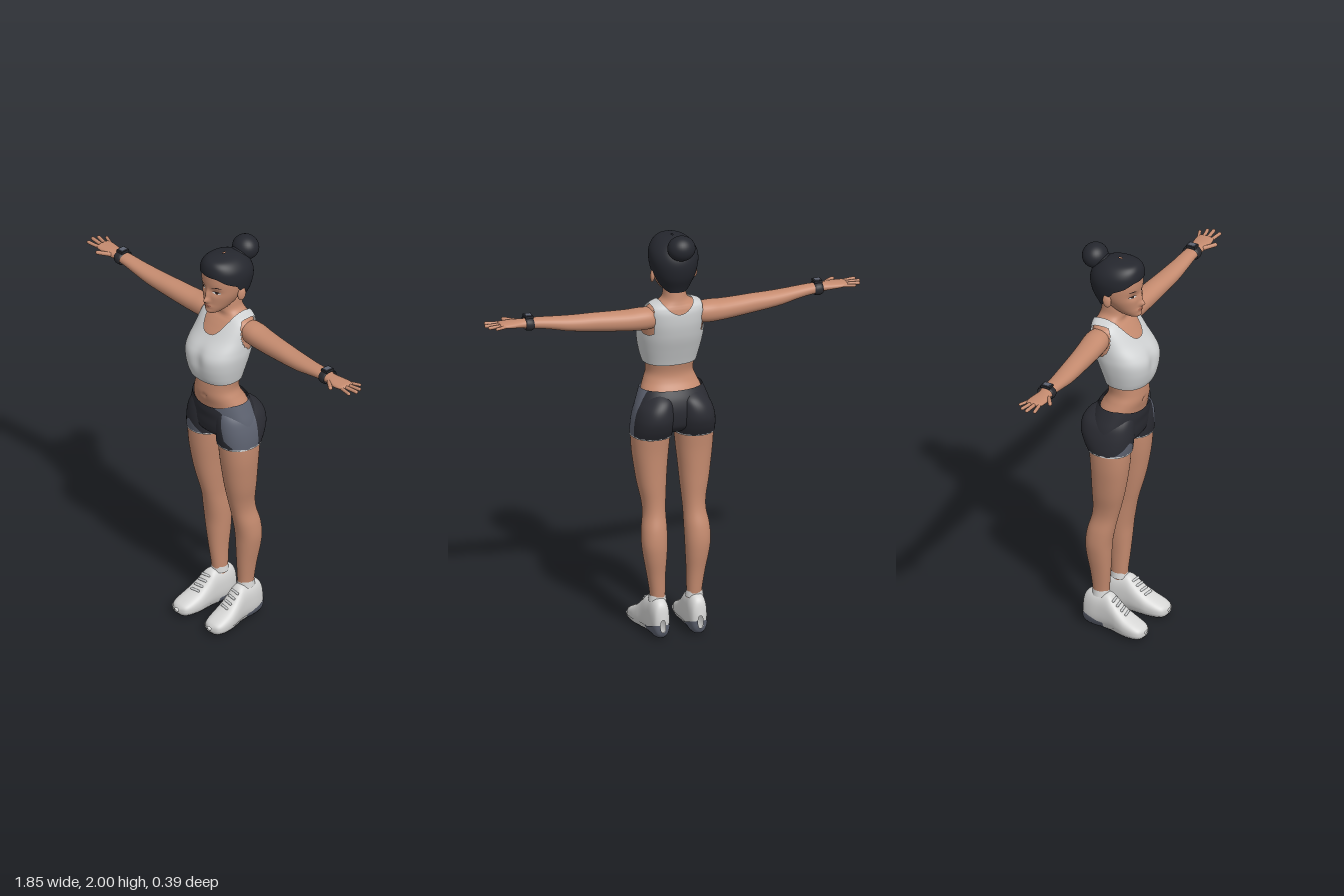
import * as THREE from 'three';

const paint = (name, color, side = THREE.DoubleSide) => {
  const m = new THREE.MeshStandardMaterial({ color, side });
  m.name = name;
  return m;
};

// Smooth tube through sections [t, centreX, radiusX, zFront, zBack]; n squares the outline, warp moves points
function loft(keys, { n = 2.2, seg = 48, sub = 6, warp } = {}) {
  const pos = [], idx = [], rows = (keys.length - 1) * sub;
  for (let i = 0; i <= rows; i++) {
    const k = Math.min(Math.floor(i / sub), keys.length - 2), u = i / sub - k;
    const at = j => keys[Math.max(0, Math.min(keys.length - 1, j))];
    const [t, cx, rx, zf, zb] = keys[0].map((_, c) => {
      const a = at(k - 1)[c], b = at(k)[c], d = at(k + 1)[c], e = at(k + 2)[c];
      return b + 0.5 * u * (d - a + u * (2 * a - 5 * b + 4 * d - e + u * (3 * (b - d) + e - a)));
    });
    for (let j = 0; j < seg; j++) {
      const a = j / seg * Math.PI * 2, c = Math.cos(a), s = Math.sin(a);
      const r = (Math.abs(c) ** n + Math.abs(s) ** n) ** (-1 / n);
      const p = new THREE.Vector3(cx + rx * r * c, t, (zf + zb) / 2 + (zf - zb) / 2 * r * s);
      if (warp) warp(p);
      pos.push(p.x, p.y, p.z);
      if (i < rows) {
        const q = i * seg + j, w = i * seg + (j + 1) % seg;
        idx.push(q, q + seg, w, w, q + seg, w + seg);
      }
    }
  }
  const g = new THREE.BufferGeometry();
  g.setAttribute('position', new THREE.Float32BufferAttribute(pos, 3));
  g.setIndex(idx);
  g.computeVertexNormals();
  return g;
}

// Keeps the part of a surface where field f is positive, cut cleanly, pushed out by lift
function clip(geo, f, lift = 0) {
  const P = geo.attributes.position, N = geo.attributes.normal, pos = [], nor = [];
  const vert = i => {
    const p = new THREE.Vector3().fromBufferAttribute(P, i);
    return { p, n: new THREE.Vector3().fromBufferAttribute(N, i), f: f(p.x, p.y, p.z) };
  };
  const verts = Array.from({ length: P.count }, (_, i) => vert(i)), index = geo.index.array;
  for (let i = 0; i < index.length; i += 3) {
    const tri = [verts[index[i]], verts[index[i + 1]], verts[index[i + 2]]], poly = [];
    tri.forEach((a, k) => {
      const b = tri[(k + 1) % 3];
      if (a.f > 0) poly.push(a);
      if (a.f > 0 !== b.f > 0) {
        const u = a.f / (a.f - b.f);
        poly.push({ p: a.p.clone().lerp(b.p, u), n: a.n.clone().lerp(b.n, u).normalize() });
      }
    });
    for (let k = 2; k < poly.length; k++) for (const v of [poly[0], poly[k - 1], poly[k]]) {
      pos.push(...v.p.clone().addScaledVector(v.n, lift).toArray());
      nor.push(...v.n.toArray());
    }
  }
  const g = new THREE.BufferGeometry();
  g.setAttribute('position', new THREE.Float32BufferAttribute(pos, 3));
  g.setAttribute('normal', new THREE.Float32BufferAttribute(nor, 3));
  return g;
}

function mirror(geo) {
  const g = geo.clone().scale(-1, 1, 1);
  const src = g.index ? [...g.index.array] : Array.from({ length: g.attributes.position.count }, (_, i) => i);
  for (let i = 0; i < src.length; i += 3) [src[i], src[i + 1]] = [src[i + 1], src[i]];
  g.setIndex(src);
  return g;
}

// Straight-line table lookup, keys ascending
function table(keys, t) {
  if (t <= keys[0][0]) return keys[0][1];
  for (let i = 1; i < keys.length; i++) {
    const [a, va] = keys[i - 1], [b, vb] = keys[i];
    if (t <= b) return va + (vb - va) * (t - a) / (b - a);
  }
  return keys[keys.length - 1][1];
}

const bump = (d, w) => Math.exp(-((d / w) ** 2));
const oval = (x, y, cx, cy, rx, ry) => 1 - ((x - cx) / rx) ** 2 - ((y - cy) / ry) ** 2;
const ball = (x, y, z, sx, sy, sz) => new THREE.SphereGeometry(1, 32, 20).scale(sx, sy, sz).translate(x, y, z);

function rod(a, b, r) {
  const A = new THREE.Vector3(...a), B = new THREE.Vector3(...b), d = B.clone().sub(A);
  const q = new THREE.Quaternion().setFromUnitVectors(new THREE.Vector3(0, 1, 0), d.clone().normalize());
  const c = A.add(B).multiplyScalar(0.5);
  return new THREE.CapsuleGeometry(r, d.length(), 4, 10).applyQuaternion(q).translate(c.x, c.y, c.z);
}

export function createModel() {
  const model = new THREE.Group();
  const skin = paint('skin', 0xc58b6f), cloth = paint('top fabric', 0xcfd1d2), dark = paint('shorts dark', 0x2b2c33),
    grey = paint('shorts grey', 0x5d6270), hairMat = paint('hair', 0x25272e), white = paint('shoe white', 0xd6d6d5),
    sole = paint('sole', 0x33353c), lip = paint('lips', 0xa5654f), ink = paint('eye dark', 0x2a1c1a), band = paint('band', 0x292a2f);
  const add = (name, geo, mat) => {
    const m = new THREE.Mesh(geo, mat);
    m.name = name;
    model.add(m);
  };
  const pair = (name, geo, mat) => {
    add(name + 'Left', geo, mat);
    add(name + 'Right', mirror(geo), mat);
  };

  // Trunk and neck
  add('torso', loft([
    [1.10, 0, .155, .095, -.09], [1.16, 0, .152, .11, -.085], [1.20, 0, .143, .119, -.075], [1.24, 0, .126, .128, -.052],
    [1.28, 0, .113, .127, -.042], [1.33, 0, .118, .122, -.05], [1.40, 0, .134, .12, -.072], [1.48, 0, .144, .12, -.1],
    [1.54, 0, .146, .1, -.114], [1.59, 0, .143, .066, -.117], [1.62, 0, .137, .042, -.112], [1.635, 0, .118, .028, -.107],
    [1.648, 0, .085, .024, -.102], [1.67, 0, .059, .026, -.096], [1.71, 0, .052, .025, -.09], [1.77, 0, .05, .02, -.085]], {
    warp: p => { if (p.z > .05) p.z -= .008 * bump(p.x, .009) * bump(p.y - 1.235, .012); }
  }), skin);

  // Cropped tank top with scooped neck and arm holes
  const top = loft([
    [1.33, 0, .128, .153, -.056], [1.36, 0, .136, .165, -.066], [1.41, 0, .147, .176, -.084], [1.46, 0, .154, .176, -.102],
    [1.50, 0, .154, .156, -.113], [1.55, 0, .152, .112, -.122], [1.60, 0, .149, .072, -.124], [1.627, 0, .142, .048, -.119],
    [1.643, 0, .122, .034, -.113], [1.656, 0, .088, .029, -.107], [1.668, 0, .066, .03, -.1]], {
    n: 2.35, seg: 72, sub: 8,
    warp: p => { if (p.z > .03) p.z -= .014 * bump(p.x, .035) * bump(p.y - 1.45, .06); }
  });
  add('tankTop', clip(top, (x, y, z) => {
    const u = Math.abs(x) / .078;
    const neck = z > -.035 ? 1.562 + .085 * u ** 3 - y : 1.605 + .055 * u ** 2 - y;
    const arm = Math.max(-oval(z, y, -.045, 1.58, .062, .085), (.122 - Math.abs(x)) * 20);
    return Math.min(u > 1.02 ? .01 : neck, arm);
  }), cloth);

  // Shorts: hips plus two legs, with grey panels and a pale hem
  const hips = loft([
    [.985, 0, .03, .02, -.02], [1.0, 0, .12, .06, -.06], [1.03, 0, .18, .1, -.1], [1.07, 0, .19, .113, -.115],
    [1.12, 0, .183, .118, -.118], [1.17, 0, .166, .124, -.106], [1.212, 0, .15, .125, -.083]], {
    seg: 64, warp: p => { if (p.z > 0) p.y -= .028 * THREE.MathUtils.smoothstep(p.y, 1.1, 1.21) * Math.max(0, 1 - (p.x / .14) ** 2); }
  });
  const shortLeg = loft([
    [.985, .105, .096, .106, -.105], [1.03, .102, .098, .112, -.13], [1.08, .098, .095, .115, -.146],
    [1.13, .09, .087, .113, -.14], [1.17, .076, .07, .105, -.115], [1.2, .07, .045, .08, -.07]]);
  const panel = (x, y, z) => Math.max(
    Math.min(z + .035, x - table([[1, .16], [1.03, .12], [1.1, .105], [1.17, .1], [1.2, .03]], y)),
    Math.min(z, 1.052 - .9 * Math.abs(x + .12) - y));
  for (const [name, geo] of [['shortsHips', hips], ['shortsLegLeft', shortLeg], ['shortsLegRight', mirror(shortLeg)]]) {
    add(name + 'Dark', clip(geo, (...p) => -panel(...p)), dark);
    add(name + 'Grey', clip(geo, panel), grey);
  }
  pair('shortsHem', clip(shortLeg, (x, y, z) => .991 + .003 * Math.sin(x * 220 + z * 170) - y, .002), cloth);

  // Legs
  pair('leg', loft([
    [.08, .09, .034, -.02, -.09], [.14, .09, .034, -.017, -.09], [.2, .09, .035, -.014, -.094], [.3, .097, .043, -.005, -.103],
    [.39, .103, .054, .001, -.116], [.46, .106, .06, .006, -.12], [.53, .104, .059, .018, -.112], [.6, .099, .053, .033, -.093],
    [.66, .099, .056, .049, -.086], [.74, .104, .067, .069, -.086], [.82, .107, .076, .084, -.087], [.91, .108, .086, .096, -.09],
    [1.0, .106, .092, .1, -.098], [1.05, .104, .088, .09, -.1]], { seg: 40, sub: 5 }), skin);

  // Shoes: sections run from heel to toe as [z, x, half width, top, bottom]
  const shoe = loft([
    [-.142, .092, .012, .1, .04], [-.128, .092, .034, .165, .016], [-.09, .092, .045, .193, .006], [-.04, .094, .047, .19, .006],
    [.0, .097, .049, .186, .006], [.03, .1, .052, .16, .006], [.06, .104, .056, .132, .005], [.1, .108, .06, .104, .005],
    [.15, .112, .056, .08, .008], [.18, .113, .043, .064, .016], [.194, .113, .012, .048, .03]]
    .map(([z, x, w, t, b]) => [z, x, w, -b, -t]), { n: 2.5 }).rotateX(Math.PI / 2);
  pair('shoeUpper', shoe, white);
  pair('midsole', clip(shoe, (x, y, z) => Math.min(.042 - y, z + .02), .004), white);
  pair('heelCup', clip(shoe, (x, y, z) => Math.min(.045 + .35 * Math.max(0, -z - .05) - y, -.02 - z), .004), grey);
  pair('outsole', clip(shoe, (x, y, z) => .018 + Math.max(0, z - .13) * .1 - y, .0055), sole);
  pair('sock', new THREE.CylinderGeometry(.039, .043, .03, 32, 1, true).translate(.091, .187, -.054), white);
  for (const [z, y] of [[.02, .17], [.042, .151], [.064, .131], [.086, .115]]) {
    pair('lace', rod([.082, y - .006, z], [.122, y - .006, z + .006], .006), cloth);
  }

  // Arms and palms: sections run outward as [x, y, half height, zFront, zBack]
  const limb = keys => loft(keys.map(([x, y, ...r]) => [x, -y, ...r]), { seg: 32, sub: 5 }).rotateZ(-Math.PI / 2);
  pair('arm', limb([
    [.08, 1.575, .03, -.01, -.08], [.12, 1.578, .048, .008, -.098], [.17, 1.578, .052, .016, -.102], [.23, 1.577, .049, .019, -.096],
    [.31, 1.579, .046, .022, -.085], [.39, 1.583, .043, .025, -.075], [.46, 1.586, .039, .028, -.068], [.53, 1.591, .035, .03, -.06],
    [.6, 1.6, .029, .03, -.05], [.67, 1.608, .025, .028, -.043], [.73, 1.611, .022, .027, -.038]]), skin);
  pair('palm', limb([
    [.71, 1.611, .021, .026, -.036], [.745, 1.612, .019, .031, -.036], [.78, 1.614, .017, .039, -.042],
    [.82, 1.616, .014, .038, -.046], [.845, 1.618, .01, .034, -.042], [.855, 1.618, .002, .02, -.03]]), skin);
  const fingers = [[.83, -.038, .878, -.057, .0075], [.84, -.018, .905, -.031, .0085], [.845, .002, .914, -.003, .009],
    [.84, .024, .904, .034, .0085], [.76, .03, .808, .063, .01]];
  for (const [x, z, tx, tz, r] of fingers) pair('finger', rod([x, 1.616, z], [tx, 1.618, tz], r), skin);

  // Wrist bands with a small flat case on top
  pair('wristBand', limb([[.69, 1.61, .028, .033, -.047], [.7, 1.61, .033, .037, -.05], [.72, 1.611, .033, .037, -.05], [.73, 1.612, .028, .033, -.046]]), band);
  pair('watchCase', new THREE.BoxGeometry(.038, .012, .046).translate(.71, 1.645, -.006), band);
  pair('watchFace', new THREE.BoxGeometry(.026, .003, .032).translate(.71, 1.652, -.006), grey);

  // Head with modelled nose, eye sockets and mouth
  const head = loft([
    [1.672, 0, .012, .085, .05], [1.68, 0, .03, .1, .02], [1.7, 0, .05, .105, -.02], [1.73, 0, .07, .104, -.055], [1.77, 0, .089, .104, -.085],
    [1.81, 0, .099, .104, -.11], [1.85, 0, .102, .106, -.12], [1.89, 0, .097, .103, -.115], [1.925, 0, .075, .085, -.09], [1.945, 0, .02, .02, -.03]], {
    n: 2.1, seg: 112, sub: 10, warp: p => {
      if (p.z < .02) return;
      const x = Math.abs(p.x);
      p.z += .022 * bump(x, .013) * bump(p.y - 1.747, .014) + .011 * bump(x, .011) * bump(p.y - 1.775, .026)
        + .006 * bump(x, .024) * bump(p.y - 1.718, .01) - .009 * bump(x - .04, .026) * bump(p.y - 1.798, .017)
        + .004 * bump(x, .025) * bump(p.y - 1.688, .012);
    }
  });
  add('head', head, skin);
  const face = (name, f, mat, lift) => add(name, clip(head, (x, y, z) => z < .02 ? -1 : f(Math.abs(x), y), lift), mat);
  face('eyeWhites', (x, y) => oval(x, y, .044, 1.796, .02, .007), white, .001);
  face('irises', (x, y) => oval(x, y, .044, 1.797, .009, .0075), ink, .002);
  face('lashes', (x, y) => oval(x, y, .046, 1.8025 - 4 * (x - .044) ** 2, .025, .0035), ink, .003);
  face('brows', (x, y) => oval(x, y, .048, 1.827 - 8 * (x - .05) ** 2, .025, .0032), ink, .0015);
  face('lips', (x, y) => oval(x, y, 0, 1.72, .023, .0075), lip, .001);
  face('mouthLine', (x, y) => oval(x, y, 0, 1.7205, .02, .0012), ink, .002);
  pair('ear', ball(0, 0, 0, .011, .033, .02).rotateY(-.35).rotateX(-.15).translate(.102, 1.776, -.018), skin);

  // Swept-back hair cap and bun
  const hair = loft([
    [1.69, 0, .055, .03, -.09], [1.73, 0, .078, .08, -.108], [1.78, 0, .1, .104, -.133], [1.83, 0, .111, .109, -.145],
    [1.87, 0, .114, .111, -.143], [1.905, 0, .106, .111, -.128], [1.935, 0, .084, .101, -.1], [1.953, 0, .053, .075, -.065], [1.962, 0, .004, .01, -.01]], { n: 2.15, seg: 72 });
  add('hair', clip(hair, (x, y, z) =>
    y - table([[-.085, 1.705], [-.05, 1.74], [-.035, 1.8], [.0, 1.805], [.015, 1.83], [.07, 1.855], [.1, 1.878]], z)), hairMat);
  add('bun', ball(0, 1.94, -.135, .066, .06, .061), hairMat);
  add('bunTie', new THREE.TorusGeometry(.04, .012, 10, 32).rotateX(.75).translate(0, 1.915, -.1), hairMat);
  return model;
}
